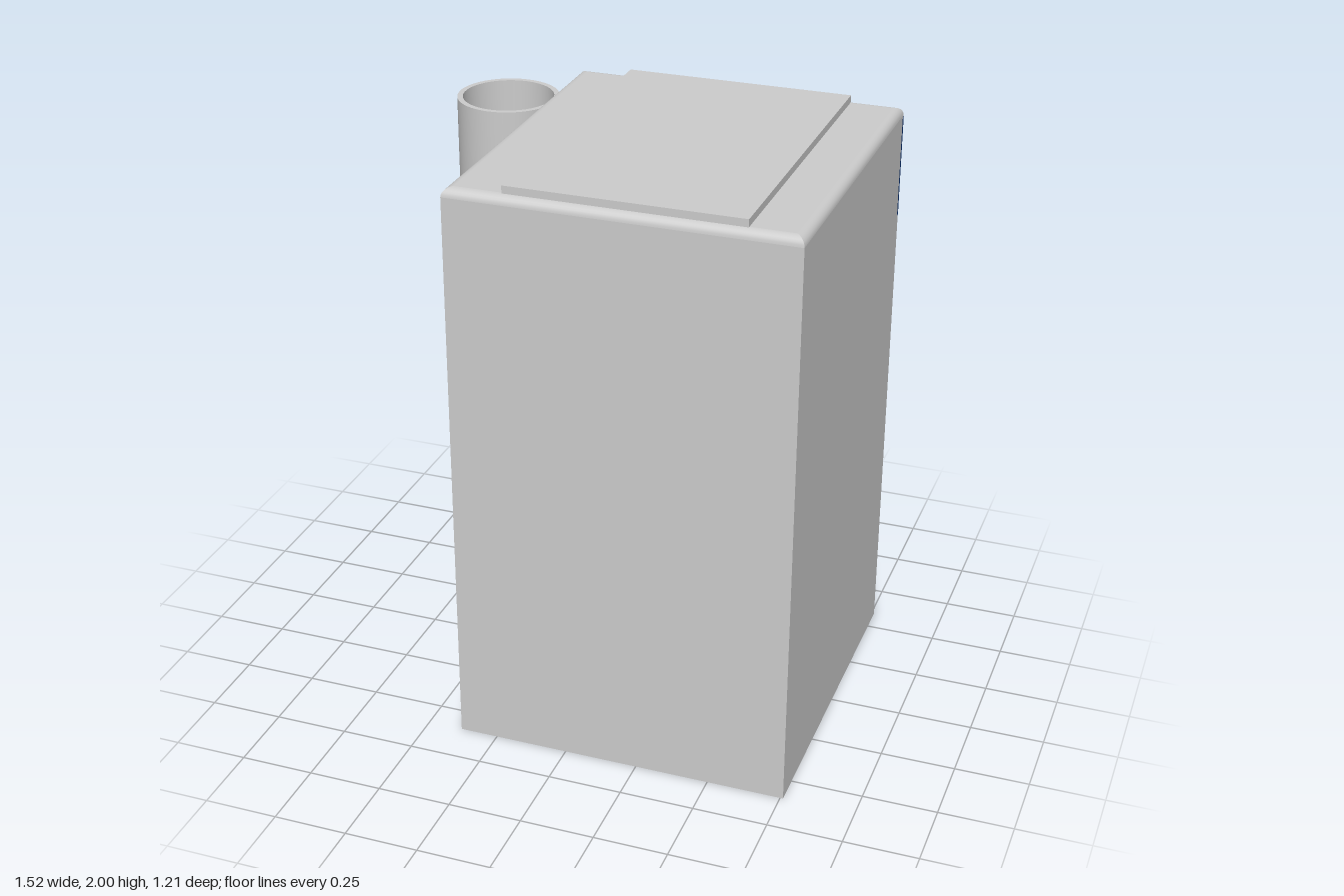
import * as THREE from 'three';

const mat = (color, side = THREE.FrontSide) => new THREE.MeshStandardMaterial({ color, side });
const GREY = mat(0xcccccc);
const GREY_OPEN = mat(0xcccccc, THREE.DoubleSide);
const NAVY = mat(0x0c3271);
const RED = mat(0xc01018);
const BLUE = mat(0x1030e0);

// Cabinet and niche limits
const X0 = -0.38, X1 = 0.76, Z0 = -0.59, Z1 = 0.6, SHOULDER = 1.945, TOP = 1.975;
const NX0 = -0.21, NX1 = 0.605, NY0 = 0.81, NY1 = 1.59, NICHE_BACK = -0.21;

function add(parent, name, geometry, material = GREY) {
  const mesh = new THREE.Mesh(geometry, material);
  mesh.name = name;
  parent.add(mesh);
  return mesh;
}

// Box given by its limits
function block(x0, x1, y0, y1, z0, z1) {
  return new THREE.BoxGeometry(x1 - x0, y1 - y0, z1 - z0)
    .translate((x0 + x1) / 2, (y0 + y1) / 2, (z0 + z1) / 2);
}

function rectangle(Type, x0, x1, y0, y1) {
  return new Type([[x0, y0], [x1, y0], [x1, y1], [x0, y1]].map(p => new THREE.Vector2(...p)));
}

// Slab whose sides curve in towards the top, with mitred corners
function roundedTop(x0, x1, y0, y1, z0, z1) {
  const steps = 6, r = y1 - y0;
  const g = new THREE.BoxGeometry(x1 - x0, r, z1 - z0, 1, steps, 1);
  const p = g.attributes.position;
  for (let i = 0; i < p.count; i++) {
    const a = (p.getY(i) / r + 0.5) * Math.PI / 2;
    const inset = r * (1 - Math.cos(a));
    p.setXYZ(i, p.getX(i) - Math.sign(p.getX(i)) * inset, r * Math.sin(a),
      p.getZ(i) - Math.sign(p.getZ(i)) * inset);
  }
  g.computeVertexNormals();
  return g.translate((x0 + x1) / 2, y0, (z0 + z1) / 2);
}

function makeCabinet() {
  const cabinet = new THREE.Group();
  cabinet.name = 'cabinet';
  const face = rectangle(THREE.Shape, X0, X1, 0, SHOULDER);
  face.holes.push(rectangle(THREE.Path, NX0, NX1, NY0, NY1));
  const frame = new THREE.ExtrudeGeometry(face, { depth: NICHE_BACK - Z0, bevelEnabled: false });
  add(cabinet, 'nicheSurround', frame.translate(0, 0, Z0));
  add(cabinet, 'cabinetBody', block(X0, X1, 0, SHOULDER, NICHE_BACK, Z1));
  add(cabinet, 'roundedTop', roundedTop(X0, X1, SHOULDER, TOP, Z0, Z1));
  add(cabinet, 'lid', block(-0.19, 0.585, TOP - 0.005, 2, -0.565, 0.575));
  add(cabinet, 'colouredPanel', block(X0, X1, NY1, 1.94, Z0 - 0.003, Z0 + 0.01), NAVY);
  return cabinet;
}

// Drip tray with slats running from front to back
function makeDripTray() {
  const tray = new THREE.Group();
  tray.name = 'dripTray';
  add(tray, 'trayBase', block(NX0, NX1, NY0, 0.92, Z0 + 0.012, NICHE_BACK));
  const count = 13, pitch = (NX1 - NX0) / count;
  for (let i = 0; i < count; i++) {
    const x = NX0 + (i + 0.5) * pitch;
    add(tray, 'traySlat', block(x - 0.022, x + 0.022, NY0, 0.95, Z0, NICHE_BACK));
  }
  return tray;
}

// Tap, built about the vertical axis of its spout, with +z towards the niche wall
function makeTap(x, name, leverMaterial) {
  const tap = new THREE.Group();
  tap.name = name;
  tap.position.set(x, 0, -0.46);

  const spout = [[0.028, 1.22], [0.028, 1.2], [0.04, 1.2], [0.06, 1.325], [0.068, 1.325],
    [0.068, 1.36], [0.05, 1.375], [0, 1.375]].map(p => new THREE.Vector2(...p));
  const spoutGeo = new THREE.LatheGeometry(spout, 28).toNonIndexed();
  spoutGeo.computeVertexNormals();
  add(tap, 'spout', spoutGeo, GREY_OPEN);

  // Grip ribs around the collar
  for (let i = 0; i < 24; i++) {
    const rib = add(tap, 'collarRib', new THREE.BoxGeometry(0.008, 0.034, 0.009).translate(0, 1.342, 0.069));
    rib.rotation.y = i * Math.PI / 12;
  }

  // Stem into the wall, with stepped collars: radius, start, end
  for (const [r, z0, z1] of [[0.03, 0.02, 0.25], [0.04, 0.09, 0.13], [0.045, 0.16, 0.19], [0.052, 0.21, 0.25]]) {
    const g = new THREE.CylinderGeometry(r, r, z1 - z0, 24).rotateX(Math.PI / 2);
    add(tap, 'stem', g.translate(0, 1.315, (z0 + z1) / 2));
  }

  // Lever, a side profile extruded across the tap
  const side = new THREE.Shape([[0.07, 1.375], [0.075, 1.43], [0.02, 1.465], [-0.13, 1.485],
    [-0.13, 1.45], [-0.05, 1.42], [-0.045, 1.375]].map(p => new THREE.Vector2(...p)));
  const lever = new THREE.ExtrudeGeometry(side, { depth: 0.076, bevelEnabled: false });
  add(tap, 'lever', lever.translate(0, 0, -0.038).rotateY(Math.PI / 2), leverMaterial);
  return tap;
}

// Stepped cup holder beside the cabinet
function makeCupHolder() {
  const holder = new THREE.Group();
  holder.name = 'cupHolder';
  holder.position.set(-0.587, 0, -0.43);
  const profile = [[0, 1.255], [0.141, 1.255], [0.141, 1.54], [0.176, 1.54], [0.176, 1.905],
    [0.157, 1.905], [0.157, 1.55], [0.134, 1.55], [0.134, 1.265], [0, 1.265]];
  // One smooth band per straight run keeps the rims sharp
  for (let i = 0; i < profile.length - 1; i++) {
    const pair = [profile[i], profile[i + 1]].map(p => new THREE.Vector2(...p));
    add(holder, 'cupHolderWall', new THREE.LatheGeometry(pair, 48), GREY_OPEN);
  }
  return holder;
}

export function createModel() {
  const model = new THREE.Group();
  model.name = 'waterDispenser';
  model.add(
    makeCabinet(),
    makeDripTray(),
    makeTap(0.4, 'hotTap', RED),
    makeTap(-0.04, 'coldTap', BLUE),
    makeCupHolder(),
  );
  return model;
}
